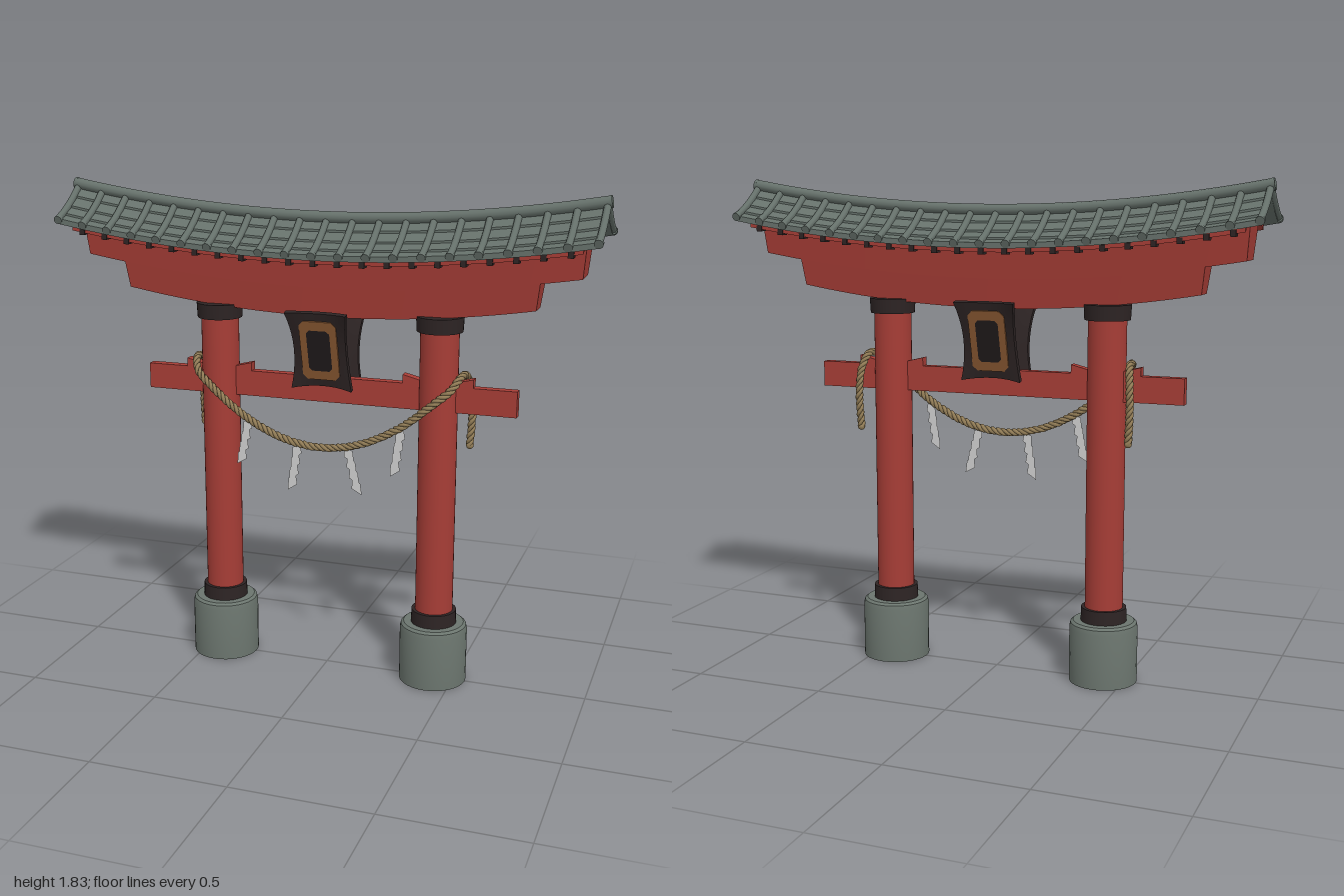
import * as THREE from 'three';
import { toCreasedNormals } from 'three/addons/utils/BufferGeometryUtils.js';

const paint = (name, color, side = THREE.FrontSide) => {
  const m = new THREE.MeshStandardMaterial({ color, side });
  m.name = name;
  return m;
};

export function createModel() {
  const root = new THREE.Group();
  root.name = 'shrineGate';
  const red = paint('vermilion', 0xa63d36);
  const tile = paint('roofTile', 0x66716b);
  const stone = paint('stone', 0x6b756e);
  const dark = paint('darkWood', 0x2d2424);
  const black = paint('panelBlack', 0x211b1c);
  const gold = paint('bronze', 0x8c5a33);
  const straw = paint('straw', 0x968059);
  const paper = paint('paper', 0xcfcfcf, THREE.DoubleSide);

  const add = (name, geo, mat, x = 0, y = 0, z = 0, parent = root) => {
    const mesh = new THREE.Mesh(geo, mat);
    mesh.name = name;
    mesh.position.set(x, y, z);
    parent.add(mesh);
    return mesh;
  };

  // Mirrored (z, y) section swept along x, curving up towards both ends
  const sweep = (half, length, bend, flare = 0) => {
    const mirror = half.filter(p => p[0] > 0).reverse().map(([z, y]) => [-z, y]);
    const shape = new THREE.Shape([...half, ...mirror].map(p => new THREE.Vector2(...p)));
    const geo = new THREE.ExtrudeGeometry(shape, { depth: 2 * length, steps: 32, bevelEnabled: false });
    geo.translate(0, 0, -length).rotateY(Math.PI / 2);
    const pos = geo.attributes.position;
    for (let i = 0; i < pos.count; i++) {
      const x = pos.getX(i), y = pos.getY(i);
      pos.setXY(i, x * (1 + flare * (y - 1.5)), y + bend * x * x);
    }
    return toCreasedNormals(geo, 0.4);
  };

  // Pillars with stone feet, collars and wedges
  const foot = new THREE.LatheGeometry(
    [[0, 0], [0.126, 0], [0.126, 0.205], [0.122, 0.222], [0.112, 0.23], [0, 0.23]]
      .map(p => new THREE.Vector2(...p)), 32);
  for (const s of [-1, 1]) {
    const x = s * 0.422;
    add('stoneFoot', toCreasedNormals(foot, 0.6), stone, x);
    add('pillar', new THREE.CylinderGeometry(0.07, 0.07, 1.16, 32), red, x, 0.8);
    add('lowerCollar', new THREE.CylinderGeometry(0.083, 0.085, 0.055, 32), dark, x, 0.253);
    add('upperCollar', new THREE.CylinderGeometry(0.086, 0.083, 0.055, 32), dark, x, 1.364);
    for (const w of [-1, 1]) {
      const wedge = new THREE.Shape([[0.05, 0], [0.13, 0], [0.13, 0.035], [0.05, 0.015]]
        .map(([u, v]) => new THREE.Vector2(w * u, v)));
      add('wedge', new THREE.ExtrudeGeometry(wedge, { depth: 0.036, bevelEnabled: false }),
        red, x, 1.137, -0.018);
    }
  }

  // Beams
  add('tieBeam', new THREE.BoxGeometry(1.42, 0.095, 0.036), red, 0, 1.093);
  add('lowerLintel', sweep([[0.055, 1.48], [0.04, 1.367]], 0.785, 0.11, 0.17), red);
  add('upperLintel', sweep([[0, 1.69], [0.075, 1.63], [0.056, 1.475]], 0.925, 0.092, 0.1), red);

  // Roof: stepped tile courses over a red soffit
  const BEND = 0.09;
  const slope = z => 1.71 - 0.9 * z + 1.5 * z * z;
  const courses = [0, 0.045, 0.09, 0.132, 0.17];
  const tops = [];
  for (let i = 0; i < 4; i++) {
    tops.push([courses[i], slope(courses[i])], [courses[i + 1], slope(courses[i + 1]) + 0.008]);
  }
  const under = courses.map(z => [z, slope(z) - 0.012]).reverse();
  add('roofTiles', sweep([...tops, ...under], 0.985, BEND), tile);
  const soffitTop = [0, 0.05, 0.1, 0.158].map(z => [z, slope(z) - 0.011]);
  const soffitUnder = [...soffitTop].reverse().map(([z, y]) => [z, y - 0.02]);
  add('soffit', sweep([...soffitTop, ...soffitUnder], 0.935, BEND), red);

  // Ridge pole
  const ridgePoints = [];
  for (let i = 0; i <= 20; i++) {
    const x = -1 + i / 10;
    ridgePoints.push(new THREE.Vector3(x, 1.72 + BEND * x * x, 0));
  }
  add('ridge', new THREE.TubeGeometry(new THREE.CatmullRomCurve3(ridgePoints), 40, 0.021, 12), tile);
  for (const s of [-1, 1]) {
    add('ridgeEnd', new THREE.CylinderGeometry(0.021, 0.021, 0.01, 12).rotateZ(Math.PI / 2 + s * 0.18),
      tile, s * 0.995, 1.81);
  }

  // Tile rolls with round end caps, and rafter ends below the eaves
  for (const s of [-1, 1]) {
    for (let i = -10; i <= 10; i++) {
      const x = i * 0.0985, lift = BEND * x * x;
      const line = new THREE.CatmullRomCurve3([0.01, 0.06, 0.115, 0.172]
        .map(z => new THREE.Vector3(x, slope(z) + 0.007 + lift, s * z)));
      add('tileRoll', new THREE.TubeGeometry(line, 8, 0.013, 8), tile);
      add('rollCap', new THREE.CylinderGeometry(0.016, 0.016, 0.014, 12).rotateX(Math.PI / 2 + s * 0.35),
        tile, x, slope(0.17) + 0.005 + lift, s * 0.17);
    }
    for (let i = -10; i <= 10; i++) {
      const x = i * 0.0895;
      add('rafterEnd', new THREE.BoxGeometry(0.02, 0.022, 0.035), dark,
        x, slope(0.145) - 0.034 + BEND * x * x, s * 0.145);
    }
  }

  // Leaning name boards, one on each face
  const octagon = (w, h, c, Type) => new Type(
    [[w - c, h], [w, h - c], [w, c - h], [w - c, -h], [c - w, -h], [-w, c - h], [-w, h - c], [c - w, h]]
      .map(p => new THREE.Vector2(...p)));
  const boardGeo = new THREE.BoxGeometry(0.23, 0.3, 0.02, 10, 10, 1);
  const bp = boardGeo.attributes.position;
  for (let i = 0; i < bp.count; i++) {
    const u = bp.getX(i) / 0.115, v = bp.getY(i) / 0.15;
    bp.setXYZ(i, bp.getX(i) * (0.86 + 0.14 * v * v), bp.getY(i) * (0.96 + 0.04 * u * u),
      bp.getZ(i) + 0.022 * u * u * v * v);
  }
  const board = toCreasedNormals(boardGeo, 0.6);
  const frameShape = octagon(0.07, 0.115, 0.018, THREE.Shape);
  frameShape.holes.push(octagon(0.044, 0.08, 0.012, THREE.Path));
  const frameGeo = new THREE.ExtrudeGeometry(frameShape, { depth: 0.008, bevelEnabled: false });
  const panelGeo = new THREE.ExtrudeGeometry(octagon(0.05, 0.085, 0.012, THREE.Shape),
    { depth: 0.004, bevelEnabled: false });
  for (const turn of [0, Math.PI]) {
    const side = new THREE.Group();
    side.name = 'nameBoard';
    side.rotation.y = turn;
    root.add(side);
    const lean = new THREE.Group();
    lean.name = 'leaningBoard';
    lean.position.set(0, 1.255, 0.073);
    lean.rotation.x = 0.25;
    side.add(lean);
    add('board', board, dark, 0, 0, 0, lean);
    add('boardFrame', frameGeo, gold, 0, 0, 0.0095, lean);
    add('boardPanel', panelGeo, black, 0, 0, 0.0095, lean);
  }

  // Twisted rope: hangs behind, crosses the tie beam and sags across the front
  const sag = x => 0.89 + 1.1 * x * x;
  const halfRope = [[0.525, 0.905, -0.072], [0.53, 1.03, -0.076], [0.525, 1.12, -0.066],
    [0.515, 1.175, -0.03], [0.508, 1.178, 0.025], [0.485, 1.14, 0.068],
    [0.42, sag(0.42), 0.088], [0.3, sag(0.3), 0.087], [0.15, sag(0.15), 0.085]];
  const ropePath = new THREE.CatmullRomCurve3([
    ...halfRope.map(([x, y, z]) => new THREE.Vector3(-x, y, z)),
    new THREE.Vector3(0, sag(0), 0.085),
    ...[...halfRope].reverse().map(p => new THREE.Vector3(...p))]);
  const N = 320;
  const frames = ropePath.computeFrenetFrames(N);
  for (let k = 0; k < 3; k++) {
    const points = [];
    for (let i = 0; i <= N; i++) {
      const a = i * 0.58 + k * Math.PI * 2 / 3;
      points.push(ropePath.getPointAt(i / N)
        .addScaledVector(frames.normals[i], 0.0075 * Math.cos(a))
        .addScaledVector(frames.binormals[i], 0.0075 * Math.sin(a)));
    }
    const strand = new THREE.CatmullRomCurve3(points);
    strand.arcLengthDivisions = 800;
    add('ropeStrand', new THREE.TubeGeometry(strand, 640, 0.0078, 5), straw);
  }
  for (const s of [-1, 1]) {
    add('ropeEnd', new THREE.SphereGeometry(0.014, 10, 8), straw, s * 0.525, 0.905, -0.072);
  }

  // Folded paper streamers
  const folds = [];
  for (let i = 0; i < 4; i++) {
    const x = -i * 0.008, y = -i * 0.04;
    folds.push(new THREE.Shape([[x + 0.016, y], [x + 0.02, y - 0.035], [x - 0.018, y - 0.058], [x - 0.014, y - 0.012]]
      .map(p => new THREE.Vector2(...p))));
  }
  const streamer = new THREE.ShapeGeometry(folds);
  for (const [x, dir, tilt] of [[-0.285, 1, 0], [-0.092, 1, 0.05], [0.112, -1, 0.05], [0.302, 1, 0.05]]) {
    const m = add('paperStreamer', streamer, paper, x, sag(x) - 0.005, 0.085);
    m.scale.x = dir;
    m.rotation.z = tilt;
  }
  return root;
}
